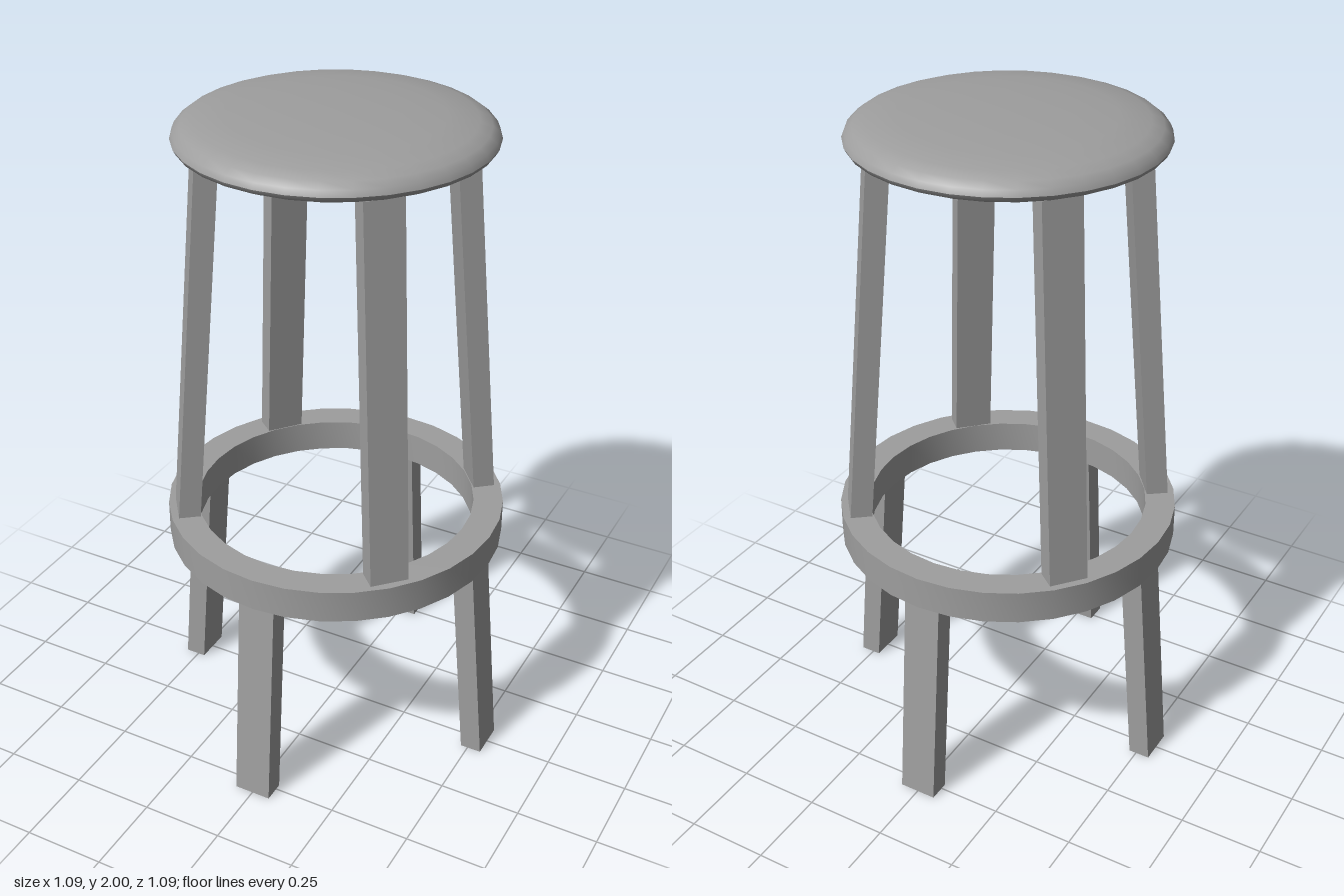
import * as THREE from 'three';
import { toCreasedNormals } from 'three/addons/utils/BufferGeometryUtils.js';

const grey = new THREE.MeshStandardMaterial({ color: 0x9e9e9e });
const LEG_WIDTH = 0.114, LEG_DEPTH = 0.065;
const LEAN = 0.085; // inward shift of a leg per unit of height

function lathe(name, profile, segments) {
  const points = profile.map(([r, y]) => new THREE.Vector2(r, y));
  const geometry = toCreasedNormals(new THREE.LatheGeometry(points, segments), 0.7);
  const mesh = new THREE.Mesh(geometry, grey);
  mesh.name = name;
  return mesh;
}

// Rectangular leg with level ends, leaning inward; angle runs from +x towards +z
function leg(name, degrees, y0, y1, radius) {
  const geometry = new THREE.BoxGeometry(LEG_DEPTH, y1 - y0, LEG_WIDTH);
  geometry.translate(radius, (y0 + y1) / 2, 0);
  const p = geometry.attributes.position;
  for (let i = 0; i < p.count; i++) p.setX(i, p.getX(i) - LEAN * (p.getY(i) - y0));
  geometry.computeVertexNormals();
  const mesh = new THREE.Mesh(geometry, grey);
  mesh.name = name;
  mesh.rotation.y = -THREE.MathUtils.degToRad(degrees);
  return mesh;
}

export function createModel() {
  const stool = new THREE.Group();
  stool.name = 'barStool';

  // Cushioned round seat
  stool.add(lathe('seat', [
    [0, 1.88], [0.25, 1.887], [0.36, 1.898], [0.415, 1.91], [0.44, 1.922], [0.447, 1.935],
    [0.44, 1.952], [0.42, 1.968], [0.385, 1.981], [0.3, 1.991], [0.18, 1.998], [0, 2],
  ], 32));

  // Footrest ring
  stool.add(lathe('footRing', [
    [0.42, 0.677], [0.509, 0.677], [0.509, 0.777], [0.42, 0.777], [0.42, 0.677],
  ], 32));

  // Upper legs, on the diagonals between ring and seat
  const upper = { FrontLeft: 44, FrontRight: 180 - 37.7, BackRight: 180 + 39, BackLeft: -39.5 };
  for (const [side, angle] of Object.entries(upper)) {
    stool.add(leg('upperLeg' + side, angle, 0.777, 1.9, 0.453));
  }

  // Lower legs, on the axes between floor and ring
  ['Left', 'Front', 'Right', 'Back'].forEach((side, i) => {
    stool.add(leg('lowerLeg' + side, i * 90, 0, 0.677, i % 2 ? 0.514 : 0.51));
  });

  return stool;
}
